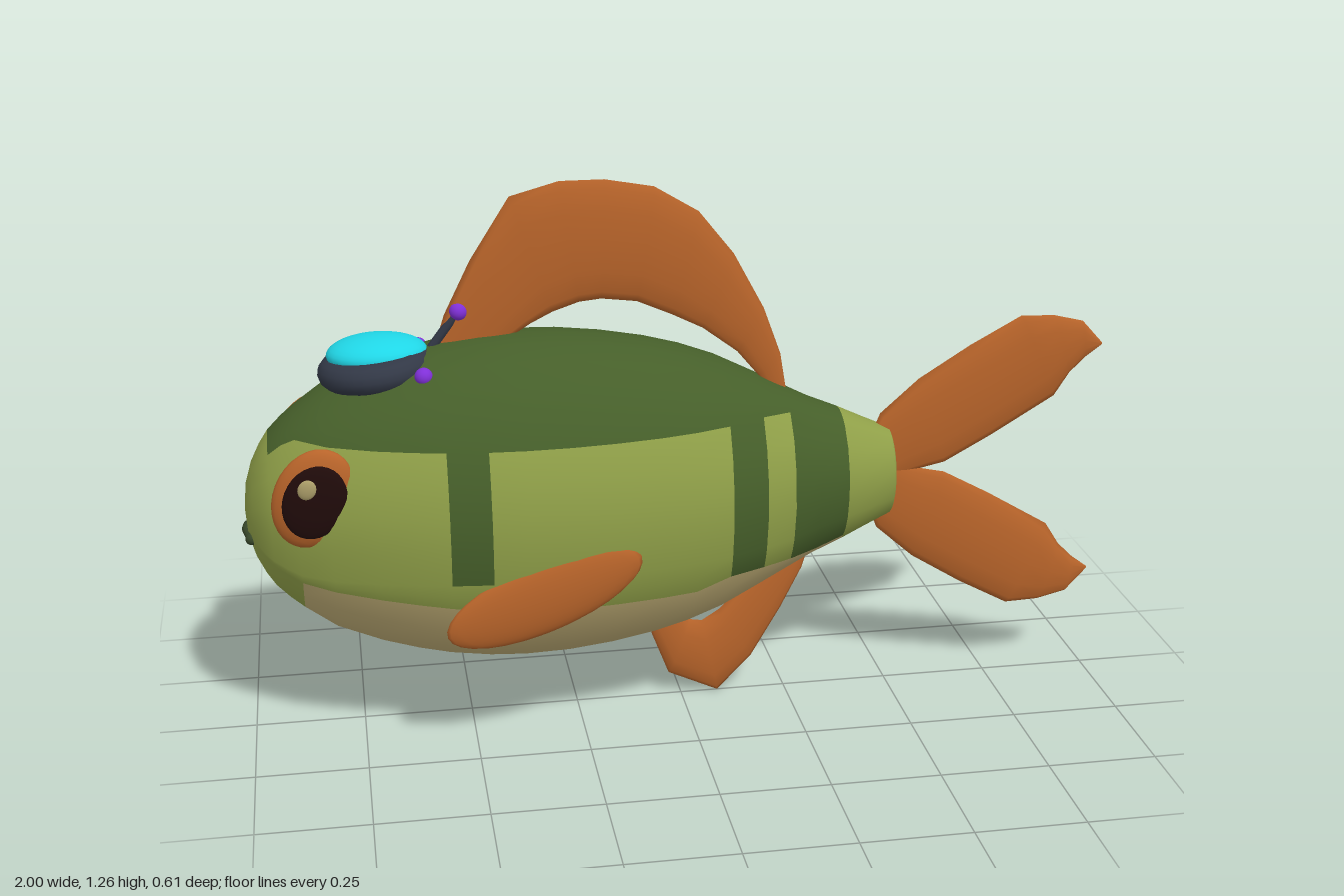
import * as THREE from 'three';

const mat = (name, color, side = THREE.FrontSide) => {
  const m = new THREE.MeshStandardMaterial({ color, side });
  m.name = name;
  return m;
};

export function createModel() {
  const model = new THREE.Group();
  const darkGreen = mat('darkGreen', 0x465f2a);
  const lightGreen = mat('lightGreen', 0x8f9f48);
  const cream = mat('cream', 0xbdab74);
  const orange = mat('orange', 0xb8642a, THREE.DoubleSide);
  const black = mat('pupilBlack', 0x200b0a);
  const glint = mat('eyeGlint', 0xaa9c68);
  const slate = mat('slate', 0x323846);
  const cyan = mat('cyan', 0x20d6e6);
  const purple = mat('purple', 0x8030d8);
  const mouthGreen = mat('mouthGreen', 0x37472a);

  const add = (name, geo, material, pos = [0, 0, 0], parent = model) => {
    const m = new THREE.Mesh(geo, material);
    m.name = name;
    m.position.set(...pos);
    parent.add(m);
    return m;
  };
  const ellipsoid = (a, b, c) => new THREE.SphereGeometry(1, 24, 16).scale(a, b, c);

  // Body: elliptical rings along x; rows follow the colour borders
  const CY = 0.54, WIDE = 0.79;
  const rings = [
    [-0.99, 0.001], [-0.985, 0.06], [-0.97, 0.11], [-0.95, 0.15], [-0.93, 0.18], [-0.9, 0.21],
    [-0.87, 0.235], [-0.8, 0.285], [-0.7, 0.326], [-0.62, 0.35], [-0.55, 0.366], [-0.46, 0.378],
    [-0.38, 0.382], [-0.28, 0.379], [-0.18, 0.368], [-0.08, 0.35], [0, 0.329], [0.08, 0.3],
    [0.165, 0.258], [0.235, 0.222], [0.3, 0.189], [0.37, 0.16], [0.43, 0.132], [0.49, 0.105],
  ];
  const rows = [5, 4, 2, 5]; // back, flank, lower flank, belly
  const rowZone = rows.flatMap((n, z) => Array(n).fill(z));
  const half = rowZone.length, around = half * 2;
  const bellyLevel = (x, r) => {
    if (x < -0.87) return -0.5 * r;
    if (x > 0.05) return Math.max(-0.157, -0.8 * r);
    return THREE.MathUtils.mapLinear(Math.min(x, -0.4), -0.87, -0.4, -0.12, -0.182);
  };
  const halfAngles = (x, r) => {
    const levels = [Math.min(0.195, 0.85 * r), Math.max(-0.1, -0.42 * r), bellyLevel(x, r)];
    const stops = [0, ...levels.map((l) => Math.acos(l / r)), Math.PI];
    const out = [];
    rows.forEach((n, z) => {
      for (let k = 0; k < n; k++) out.push(THREE.MathUtils.lerp(stops[z], stops[z + 1], k / n));
    });
    return [...out, Math.PI];
  };
  const zoneColour = (x, zone) => {
    if (zone === 0) return x > -0.93 && x < 0.37 ? 0 : 1;
    if (zone === 3) return x > -0.87 && x < 0.37 ? 2 : 1;
    if (x > -0.55 && x < -0.46) return zone === 1 ? 0 : 1;
    return (x > 0.08 && x < 0.165) || (x > 0.235 && x < 0.37) ? 0 : 1;
  };
  const pos = [], faces = [[], [], []];
  rings.forEach(([x, r], i) => {
    const h = halfAngles(x, r);
    for (let j = 0; j < around; j++) {
      const t = j <= half ? h[j] : 2 * Math.PI - h[around - j];
      pos.push(x, CY + r * Math.cos(t), WIDE * r * Math.sin(t));
      if (i === rings.length - 1) continue;
      const zone = rowZone[j < half ? j : around - 1 - j];
      const a = i * around + j, b = i * around + ((j + 1) % around);
      faces[zoneColour((x + rings[i + 1][0]) / 2, zone)]
        .push(a, b, a + around, b, b + around, a + around);
    }
  });
  const bodyGeo = new THREE.BufferGeometry();
  bodyGeo.setAttribute('position', new THREE.Float32BufferAttribute(pos, 3));
  bodyGeo.setIndex(faces.flat());
  let start = 0;
  faces.forEach((f, k) => {
    bodyGeo.addGroup(start, f.length, k);
    start += f.length;
  });
  bodyGeo.computeVertexNormals();
  add('body', bodyGeo, [darkGreen, lightGreen, cream]);
  add('tailStump', ellipsoid(0.012, 0.105, 0.105 * WIDE), lightGreen, [0.489, CY, 0]);

  // Mouth: a small curved bar on the nose
  const lips = new THREE.CatmullRomCurve3([
    new THREE.Vector3(-0.978, 0.488, -0.05), new THREE.Vector3(-0.988, 0.495, 0),
    new THREE.Vector3(-0.978, 0.488, 0.05)]);
  add('mouth', new THREE.TubeGeometry(lips, 12, 0.012, 8), mouthGreen);
  for (const s of [1, -1]) add('mouthCorner', ellipsoid(0.014, 0.014, 0.014), mouthGreen, [-0.978, 0.488, s * 0.05]);

  // Fins: lens-shaped sections between an outer and an inner edge [ox, oy, ix, iy]
  const fin = (name, pairs, thick = 0.022) => {
    const N = 12, p = [], idx = [];
    pairs.forEach(([ox, oy, ix, iy], i) => {
      const w = Math.hypot(ox - ix, oy - iy) / 2;
      const swell = Math.sin(Math.PI * (0.12 + 0.82 * i / (pairs.length - 1)));
      const t = Math.min(thick * swell, w);
      for (let j = 0; j < N; j++) {
        const c = Math.cos((j / N) * 2 * Math.PI), s = Math.sin((j / N) * 2 * Math.PI);
        p.push((ox + ix) / 2 + c * (ox - ix) / 2, (oy + iy) / 2 + c * (oy - iy) / 2, t * s);
        if (i === pairs.length - 1) continue;
        const a = i * N + j, b = i * N + ((j + 1) % N);
        idx.push(a, b, a + N, b, b + N, a + N);
      }
    });
    const g = new THREE.BufferGeometry();
    g.setAttribute('position', new THREE.Float32BufferAttribute(p, 3));
    g.setIndex(idx);
    g.computeVertexNormals();
    return add(name, g, orange);
  };
  fin('dorsalFin', [
    [-0.56, 0.88, -0.42, 0.87], [-0.53, 0.97, -0.38, 0.915], [-0.47, 1.09, -0.34, 0.94],
    [-0.38, 1.23, -0.29, 0.965], [-0.27, 1.26, -0.23, 0.985], [-0.17, 1.26, -0.18, 0.99],
    [-0.06, 1.24, -0.1, 0.98], [0.04, 1.18, -0.02, 0.945], [0.12, 1.08, 0.05, 0.91],
    [0.19, 0.95, 0.13, 0.85], [0.23, 0.84, 0.18, 0.79], [0.245, 0.75, 0.21, 0.74]]);
  fin('analFin', [
    [-0.085, 0.24, 0, 0.25], [-0.07, 0.16, 0, 0.21], [-0.03, 0.055, 0.02, 0.19],
    [0.088, 0.0, 0.05, 0.185], [0.17, 0.085, 0.09, 0.21], [0.24, 0.205, 0.15, 0.27],
    [0.29, 0.305, 0.23, 0.36], [0.315, 0.39, 0.28, 0.41]]);
  const lobe = [
    [0.45, 0.63, 0.46, 0.5], [0.47, 0.68, 0.56, 0.535], [0.56, 0.76, 0.63, 0.55],
    [0.68, 0.835, 0.74, 0.61], [0.8, 0.9, 0.89, 0.7], [0.88, 0.897, 0.925, 0.755],
    [0.95, 0.88, 0.96, 0.79], [1, 0.825, 1, 0.82]];
  fin('upperTailLobe', lobe);
  fin('lowerTailLobe', lobe.map(([a, b, c, d]) => [a, 1.075 - b, c, 1.075 - d]));

  // Paired side fins and eyes
  for (const s of [1, -1]) {
    const side = s > 0 ? 'left' : 'right';
    add(side + 'PectoralFin', ellipsoid(0.23, 0.082, 0.026), orange, [-0.35, 0.4, s * 0.28])
      .rotation.z = 0.37;
    const eye = new THREE.Group();
    eye.name = side + 'Eye';
    eye.position.set(-0.835, 0.63, s * 0.192);
    eye.rotation.set(0, -s * 0.08, -0.4);
    model.add(eye);
    add('eyeRim', ellipsoid(0.087, 0.117, 0.031), orange, [0, 0, 0], eye);
    add('pupil', ellipsoid(0.068, 0.086, 0.015), black, [0.004, 0, s * 0.021], eye);
    add('glint', ellipsoid(0.02, 0.023, 0.008), glint, [-0.022, 0.026, s * 0.033], eye);
  }

  // Domed pod on the head, with knobs and an antenna
  const pod = new THREE.Group();
  pod.name = 'headPod';
  model.add(pod);
  const base = new THREE.TorusGeometry(0.09, 0.038, 14, 32).rotateX(Math.PI / 2).scale(1.02, 0.9, 1);
  add('podBase', base, slate, [-0.683, 0.86, 0], pod).rotation.z = 0.11;
  add('podDome', ellipsoid(0.112, 0.042, 0.086), cyan, [-0.68, 0.891, 0], pod).rotation.z = 0.02;
  for (const s of [1, -1]) add('podKnob', ellipsoid(0.02, 0.02, 0.02), purple, [-0.585, 0.866, s * 0.112], pod);
  const stalk = new THREE.LineCurve3(new THREE.Vector3(-0.58, 0.87, 0), new THREE.Vector3(-0.5, 0.975, 0));
  add('antenna', new THREE.TubeGeometry(stalk, 1, 0.011, 8), slate, [0, 0, 0], pod);
  add('antennaTip', ellipsoid(0.021, 0.021, 0.021), purple, [-0.498, 0.977, 0], pod);
  return model;
}
